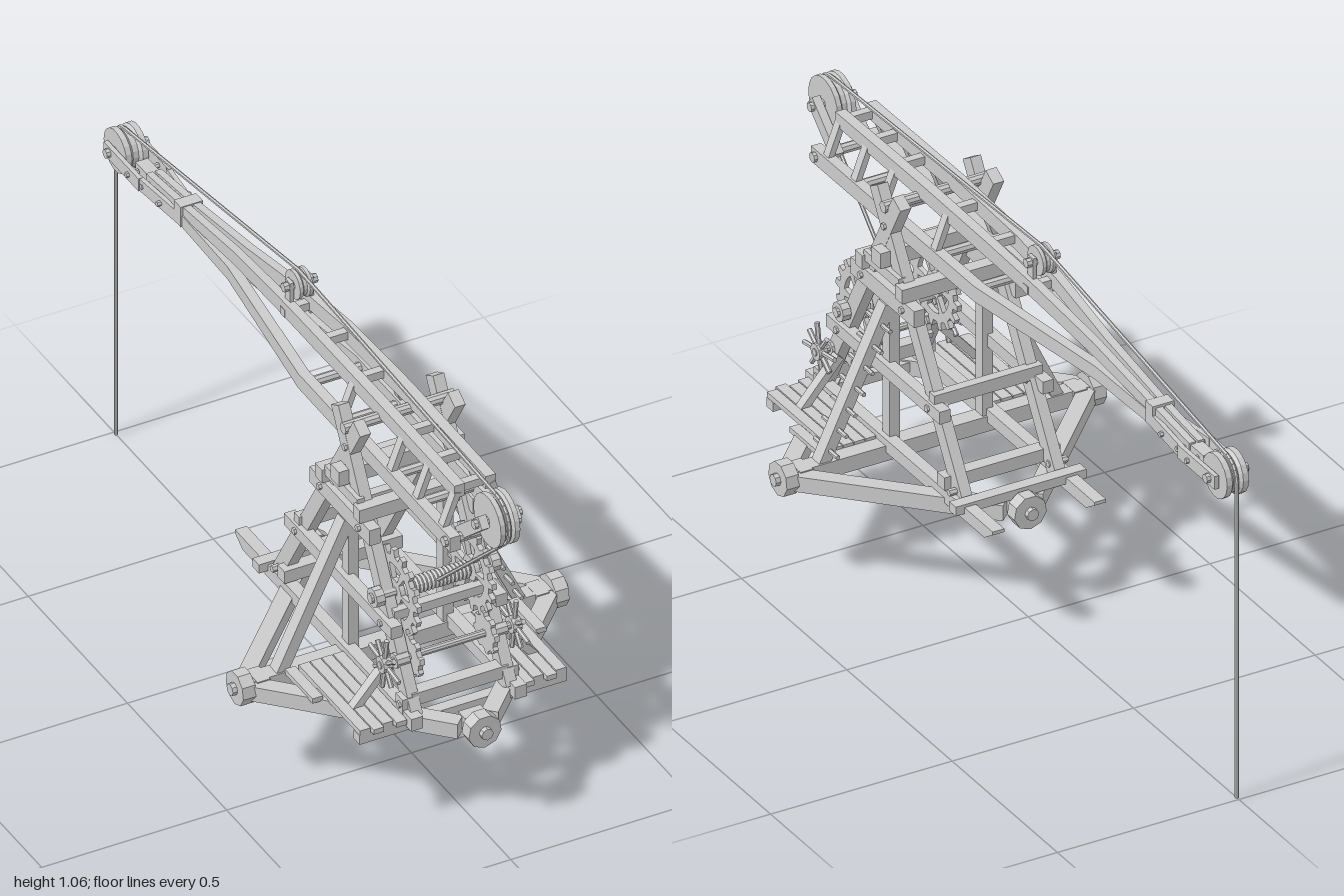
import * as THREE from 'three';

const MAT = new THREE.MeshStandardMaterial({ color: 0xcccccc, flatShading: true });
const V = (x, y, z) => new THREE.Vector3(x, y, z);
const SIDES = [-1, 1];

export function createModel() {
  const root = new THREE.Group();
  root.name = 'treadCrane';

  function add(name, geo, parent = root) {
    const m = new THREE.Mesh(geo, MAT);
    m.name = name;
    parent.add(m);
    return m;
  }
  function group(name, parent = root) {
    const g = new THREE.Group();
    g.name = name;
    parent.add(g);
    return g;
  }
  // square timber between two points: w sideways, h upward
  function beam(name, a, b, w, h, parent) {
    const d = b.clone().sub(a), len = d.length();
    d.normalize();
    const ref = Math.abs(d.y) > 0.99 ? V(0, 0, 1) : V(0, 1, 0);
    const side = ref.cross(d).normalize();
    const m = add(name, new THREE.BoxGeometry(w, h, len), parent);
    m.quaternion.setFromRotationMatrix(new THREE.Matrix4().makeBasis(side, d.clone().cross(side), d));
    m.position.copy(a).lerp(b, 0.5);
    return m;
  }
  // round bar between two points
  function rod(name, a, b, r, parent, sides = 10) {
    const d = b.clone().sub(a);
    const m = add(name, new THREE.CylinderGeometry(r, r, d.length(), sides), parent);
    m.quaternion.setFromUnitVectors(V(0, 1, 0), d.normalize());
    m.position.copy(a).lerp(b, 0.5);
    return m;
  }
  const crossRod = (name, hx, y, z, r, parent, n) => rod(name, V(-hx, y, z), V(hx, y, z), r, parent, n);
  const crossBar = (name, hx, y, z, w, h, parent) => beam(name, V(-hx, y, z), V(hx, y, z), w, h, parent);
  // timber running along z through stations [z, x, y, w, h]
  function bentBeam(name, st, parent) {
    const geo = new THREE.BoxGeometry(1, 1, 1, 1, 1, st.length - 1);
    const p = geo.attributes.position;
    for (let i = 0; i < p.count; i++) {
      const s = st[Math.round((0.5 - p.getZ(i)) * (st.length - 1))];
      p.setXYZ(i, s[1] + p.getX(i) * s[3], s[2] + p.getY(i) * s[4], s[0]);
    }
    geo.computeVertexNormals();
    return add(name, geo, parent);
  }

  // ---- turntable base ----
  const base = group('base'), cz = 0.43;
  crossBar('mainCrossBeam', 0.41, 0.29, cz, 0.045, 0.042, base);
  for (const s of SIDES) {
    beam('rearDiagonalBeam', V(s * 0.4, 0.288, 0.41), V(s * 0.04, 0.288, 0.04), 0.042, 0.042, base);
    beam('frontDiagonalBeam', V(s * 0.4, 0.288, 0.45), V(s * 0.04, 0.288, 0.82), 0.042, 0.042, base);
    // long beam with its rear end cut to a slant
    bentBeam('longBeam', [[0.79, s * 0.14, 0.312, 0.032, 0.035], [-0.06, s * 0.14, 0.312, 0.032, 0.035],
      [-0.1, s * 0.14, 0.325, 0.032, 0.009]], base);
    for (let i = 0; i < 4; i++)
      beam('deckPlank', V(s * (0.172 + i * 0.031), 0.312, 0.45), V(s * (0.172 + i * 0.031), 0.312, 0.772 - (i % 2) * 0.012), 0.028, 0.014, base);
    beam('edgePlank', V(s * 0.302, 0.312, 0.45), V(s * 0.302, 0.312, 0.59), 0.028, 0.014, base);
  }
  crossBar('deckSupport', 0.28, 0.292, 0.745, 0.03, 0.026, base);
  crossBar('rearSill', 0.18, 0.325, 0.05, 0.032, 0.025, base);
  crossBar('rearTie', 0.16, 0.35, 0.14, 0.035, 0.035, base);
  crossBar('frontTie', 0.13, 0.35, 0.73, 0.035, 0.035, base);

  // four rollers facing outward around the turning centre
  for (let i = 0; i < 4; i++) {
    const g = group('roller', base);
    g.position.set(0, 0.292, cz);
    g.rotation.y = i * Math.PI / 2;
    rod('rollerWheel', V(0, 0, 0.406), V(0, 0, 0.441), 0.045, g, 9);
    rod('rollerHub', V(0, 0, 0.37), V(0, 0, 0.454), 0.016, g, 8);
    beam('rollerBlock', V(0, 0, 0.36), V(0, 0, 0.395), 0.06, 0.04, g);
  }

  // ---- trestle tower ----
  const tower = group('tower');
  for (const s of SIDES) {
    const x = s * 0.128;
    beam('frontLeg', V(x, 0.31, 0.75), V(x, 0.988, 0.379), 0.03, 0.042, tower);
    beam('rearLeg', V(x, 0.31, 0.08), V(x, 0.985, 0.489), 0.029, 0.042, tower);
    beam('upperRail', V(s * 0.14, 0.725, 0.577), V(s * 0.14, 0.725, 0.275), 0.03, 0.045, tower);
    beam('middleRail', V(s * 0.142, 0.517, 0.69), V(s * 0.142, 0.517, 0.15), 0.03, 0.034, tower);
    beam('topCleat', V(s * 0.145, 0.785, 0.515), V(s * 0.145, 0.785, 0.35), 0.02, 0.028, tower);
    beam('centrePost', V(x, 0.31, cz), V(x, 0.72, cz), 0.028, 0.034, tower);
    beam('sideStrut', V(s * 0.325, 0.3, cz), V(s * 0.14, 0.69, cz), 0.036, 0.03, tower);
    beam('kneeBrace', V(s * 0.245, 0.31, 0.66), V(s * 0.14, 0.43, 0.66), 0.025, 0.02, tower);
    beam('legFoot', V(s * 0.142, 0.28, 0.73), V(s * 0.142, 0.36, 0.73), 0.03, 0.036, tower);
    // bolt heads at the joints
    for (const [y, z] of [[0.9, 0.435], [0.725, 0.525], [0.725, 0.33], [0.517, 0.637], [0.517, 0.206], [0.34, 0.733], [0.34, 0.098]])
      rod('bolt', V(s * 0.11, y, z), V(s * (y > 0.8 ? 0.15 : 0.163), y, z), 0.009, tower, 6);
  }
  crossRod('pivotAxle', 0.15, 0.955, 0.433, 0.015, tower);
  crossBar('headBeam', 0.17, 0.823, cz, 0.042, 0.042, tower);
  for (const z of [0.525, 0.335]) crossBar('shoulderBar', 0.163, 0.768, z, 0.035, 0.038, tower);
  crossBar('rearPlank', 0.15, 0.54, 0.2, 0.025, 0.035, tower);
  crossBar('frontStretcher', 0.13, 0.54, 0.645, 0.025, 0.025, tower);
  // climbing pegs through one strut
  for (let i = 0; i < 7; i++) {
    const t = 0.1 + i * 0.13, x = 0.325 - 0.185 * t, y = 0.3 + 0.39 * t;
    rod('climbingPeg', V(x, y, cz - 0.055), V(x, y, cz + 0.055), 0.006, tower, 6);
  }

  // ---- winch ----
  const winch = group('winch');
  function gear(name, x, y, z, r, teeth, depth, spokes) {
    const shape = new THREE.Shape(), root0 = r * 0.84;
    for (let i = 0; i < teeth; i++)
      [[0, root0], [0.45, root0], [0.55, r], [0.9, r]].forEach(([f, q], k) => {
        const a = (i + f) / teeth * Math.PI * 2;
        shape[i + k ? 'lineTo' : 'moveTo'](Math.cos(a) * q, Math.sin(a) * q);
      });
    shape.closePath();
    for (let i = 0; i < spokes; i++) {
      const a0 = (i + 0.13) / spokes * Math.PI * 2, a1 = (i + 0.87) / spokes * Math.PI * 2, hole = new THREE.Path();
      hole.absarc(0, 0, r * 0.64, a0, a1, false);
      hole.absarc(0, 0, r * 0.28, a1, a0, true);
      shape.holes.push(hole);
    }
    const geo = new THREE.ExtrudeGeometry(shape, { depth, bevelEnabled: false, curveSegments: 5 });
    geo.translate(0, 0, -depth / 2).rotateY(Math.PI / 2);
    add(name, geo, winch).position.set(x, y, z);
  }
  const dy = 0.58, dz = 0.615, py = 0.437, pz = 0.69;
  crossRod('drumAxle', 0.175, dy, dz, 0.013, winch);
  crossRod('drum', 0.09, dy, dz, 0.018, winch, 12);
  for (let i = 0; i < 17; i++) {
    const coil = add('ropeCoil', new THREE.TorusGeometry(0.018, 0.006, 5, 12), winch);
    coil.rotation.y = Math.PI / 2;
    coil.position.set(-0.084 + i * 0.0105, dy, dz);
  }
  crossRod('pinionAxle', 0.19, py, pz, 0.01, winch);
  for (const s of SIDES) {
    gear('largeGear', s * 0.101, dy, dz, 0.115, 16, 0.013, 6);
    gear('pinion', s * 0.101, py, pz, 0.055, 8, 0.013, 0);
    rod('axleBearing', V(s * 0.145, dy, dz), V(s * 0.168, dy, dz), 0.026, winch);
    rod('pinionBearing', V(s * 0.115, py, pz), V(s * 0.15, py, pz), 0.02, winch);
    rod('handwheelHub', V(s * 0.163, py, pz), V(s * 0.187, py, pz), 0.022, winch);
    for (let i = 0; i < 8; i++) {
      const a = i * Math.PI / 4 + 0.15, r = i % 2 ? 0.06 : 0.074;
      rod('handwheelSpoke', V(s * 0.175, py, pz), V(s * 0.175, py + Math.cos(a) * r, pz + Math.sin(a) * r), 0.0065, winch, 6);
    }
  }

  // ---- boom ----
  const boom = group('boom');
  for (const s of SIDES) {
    bentBeam('lowerChord', [[0.87, s * 0.08, 0.867, 0.028, 0.042], [0.1, s * 0.078, 0.867, 0.028, 0.042],
      [-0.37, s * 0.018, 0.868, 0.026, 0.036], [-0.66, s * 0.014, 0.868, 0.022, 0.034]], boom);
    bentBeam('upperChord', [[0.82, s * 0.042, 0.978, 0.028, 0.036], [0.4, s * 0.042, 0.98, 0.028, 0.04], [0.1, s * 0.039, 0.972, 0.026, 0.042],
      [-0.1, s * 0.031, 0.957, 0.024, 0.04], [-0.35, s * 0.017, 0.926, 0.022, 0.036], [-0.62, s * 0.013, 0.893, 0.02, 0.028],
      [-0.8, s * 0.012, 0.877, 0.018, 0.02]], boom);
    for (const z of [0.81, 0.68, 0.55, 0.3])
      beam('trussPost', V(s * 0.082, 0.88, z), V(s * 0.046, 0.975, z), 0.024, 0.016, boom);
    beam('noseCheek', V(s * 0.043, 0.865, 0.83), V(s * 0.043, 0.965, 0.945), 0.022, 0.034, boom);
    beam('tailCheek', V(s * 0.041, 0.868, -0.79), V(s * 0.041, 0.868, -0.965), 0.012, 0.036, boom);
    beam('tailSplice', V(s * 0.022, 0.868, -0.62), V(s * 0.039, 0.868, -0.8), 0.012, 0.034, boom);
    beam('midCheek', V(s * 0.027, 0.93, -0.065), V(s * 0.027, 1.035, -0.065), 0.01, 0.026, boom);
    for (const z of [-0.7, -0.78, -0.84]) rod('tailBolt', V(s * 0.02, 0.868, z), V(s * (z < -0.8 ? 0.055 : 0.046), 0.868, z), 0.007, boom, 6);
  }
  for (const z of [0.85, 0.68, 0.55, 0.3, 0.12]) crossRod('lowerTie', z > 0.8 ? 0.103 : 0.085, 0.868, z, 0.013, boom, 8);
  for (const z of [0.8, 0.68, 0.55, 0.3, 0.12, -0.065]) crossBar('upperTie', 0.046, z < 0 ? 0.95 : 0.978, z, 0.022, 0.022, boom);
  beam('tailTongue', V(0, 0.868, -0.5), V(0, 0.868, -0.86), 0.034, 0.028, boom);
  crossBar('boomClamp', 0.03, 0.882, -0.625, 0.035, 0.058, boom);

  // ---- sheaves: lathed grooved wheels on their pins ----
  function sheave(name, y, z, r, half, pin) {
    const g = group(name);
    const prof = [[0, -half], [r, -half], [r, -half * 0.5], [r * 0.86, -half * 0.25], [r * 0.86, half * 0.25], [r, half * 0.5], [r, half], [0, half]];
    const m = add(name + 'Wheel', new THREE.LatheGeometry(prof.map(p => new THREE.Vector2(...p)), 18), g);
    m.rotation.z = Math.PI / 2;
    crossRod(name + 'Pin', pin, 0, 0, 0.012, g, 8);
    g.position.set(0, y, z);
  }
  sheave('noseSheave', 0.955, 0.93, 0.07, 0.026, 0.064);
  sheave('midSheave', 1.02, -0.065, 0.038, 0.018, 0.045);
  sheave('tailSheave', 0.87, -0.938, 0.058, 0.03, 0.058);

  // ---- hoisting rope: straight runs and wraps in the centre plane ----
  const rope = [[dz + 0.02, dy + 0.01]];
  const wrap = (z, y, r, a0, a1, n) => {
    for (let i = 0; i <= n; i++) {
      const a = (a0 + (a1 - a0) * i / n) * Math.PI / 180;
      rope.push([z + Math.cos(a) * r, y + Math.sin(a) * r]);
    }
  };
  wrap(0.93, 0.955, 0.065, -47, 92, 8);
  wrap(-0.065, 1.02, 0.035, 88, 100, 2);
  wrap(-0.938, 0.87, 0.052, 98, 180, 5);
  rope.push([-0.99, 0]);
  for (let i = 1; i < rope.length; i++)
    rod('rope', V(0, rope[i - 1][1], rope[i - 1][0]), V(0, rope[i][1], rope[i][0]), 0.005, root, 6);

  return root;
}
